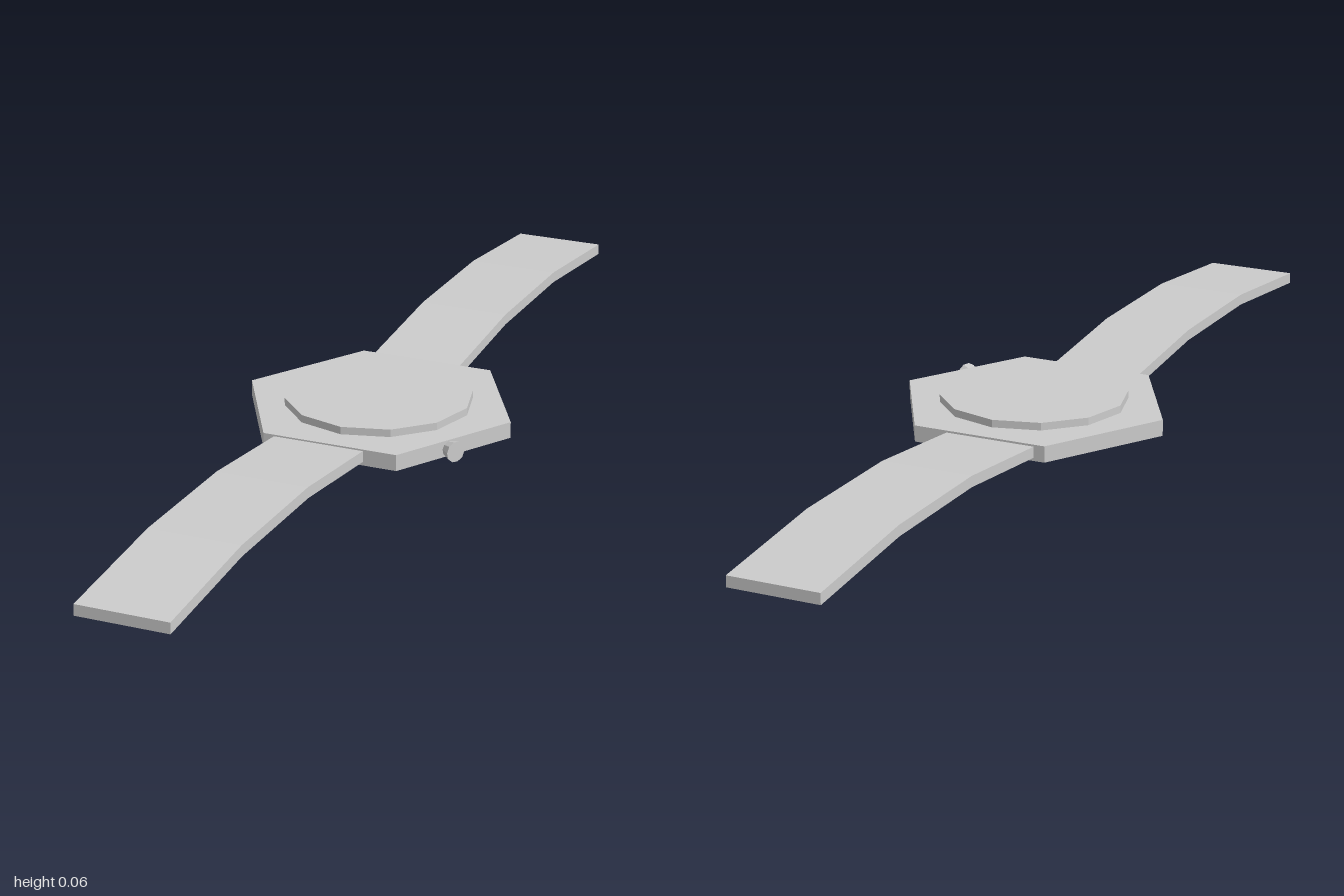
import * as THREE from 'three';

const material = new THREE.MeshStandardMaterial({ color: 0xcccccc, flatShading: true });

function addPart(group, name, geometry) {
  const mesh = new THREE.Mesh(geometry, material);
  mesh.name = name;
  group.add(mesh);
  return mesh;
}

// Strap half: an arched side profile (z, y) extruded across its width
function strapGeometry(side) {
  const top = [[0.2, 0.032], [0.467, 0.058], [0.733, 0.058], [1, 0.032]];
  const thickness = 0.021;
  const outline = [
    ...top.map(([z, y]) => new THREE.Vector2(side * z, y)),
    ...top.slice().reverse().map(([z, y]) => new THREE.Vector2(side * z, y - thickness)),
  ];
  const geometry = new THREE.ExtrudeGeometry(new THREE.Shape(outline), { depth: 0.176, bevelEnabled: false });
  geometry.rotateY(-Math.PI / 2);
  geometry.translate(0.066, 0, 0);
  return geometry;
}

export function createModel() {
  const watch = new THREE.Group();
  watch.name = 'wristwatch';

  // Hexagonal case with points toward +x and -x
  const body = addPart(watch, 'case', new THREE.CylinderGeometry(0.262, 0.262, 0.031, 6, 1, false, Math.PI / 6));
  body.position.set(0, 0.0225, 0.004);

  // Twelve-sided raised dial
  const dial = addPart(watch, 'dial', new THREE.CylinderGeometry(0.176, 0.176, 0.016, 12));
  dial.position.set(0, 0.0445, 0.005);

  // Flared winding crown, square to the front-left case side
  const crown = addPart(watch, 'crown', new THREE.CylinderGeometry(0.02, 0.013, 0.028, 10));
  const outward = new THREE.Vector3(Math.cos(Math.PI / 6), 0, Math.sin(Math.PI / 6));
  crown.quaternion.setFromUnitVectors(new THREE.Vector3(0, 1, 0), outward);
  crown.position.set(0.208, 0.021, 0.137).addScaledVector(outward, -0.014);

  // Strap halves
  addPart(watch, 'frontStrap', strapGeometry(1));
  addPart(watch, 'backStrap', strapGeometry(-1));

  return watch;
}
